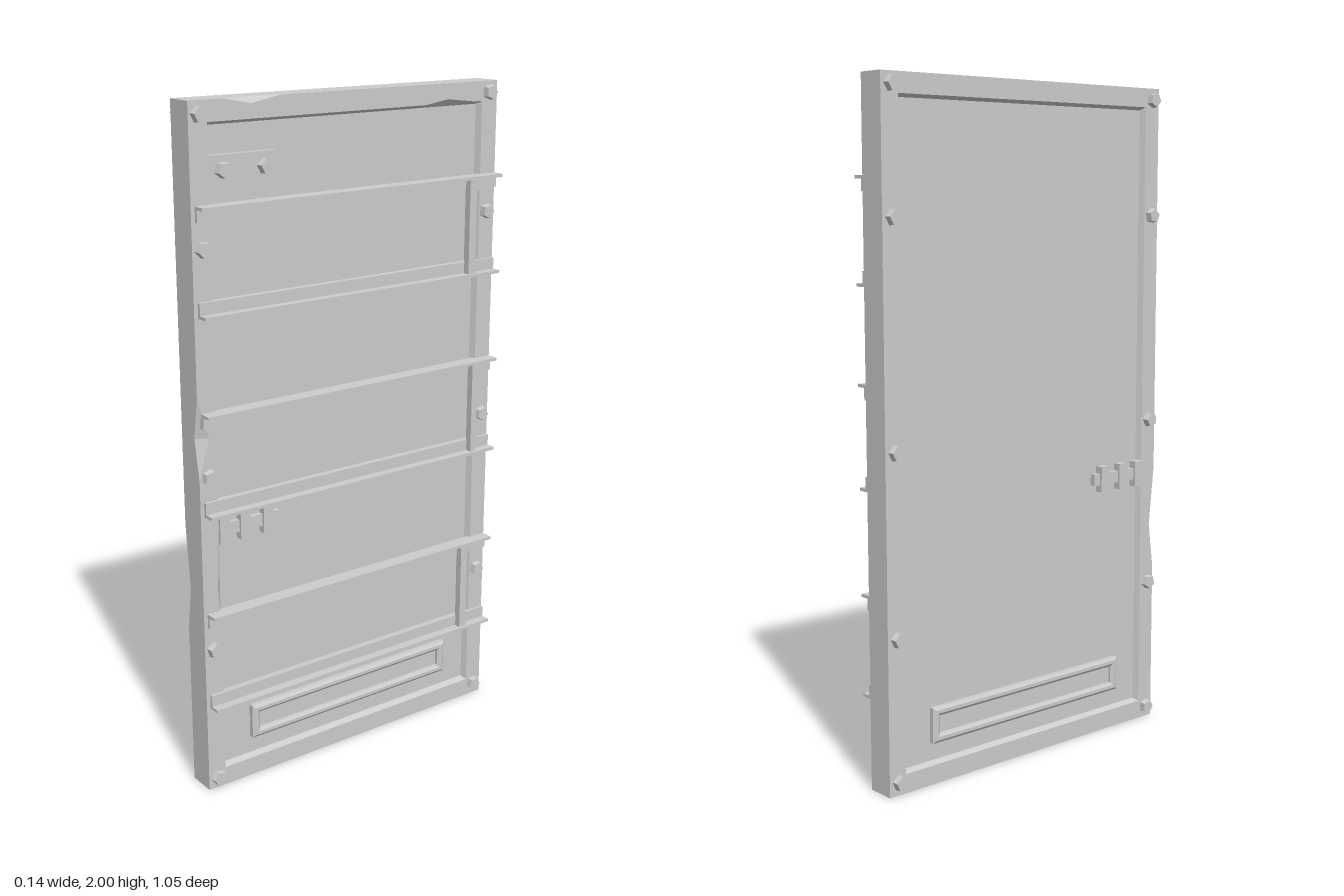
import * as THREE from 'three';

const W = 0.527, H = 2;              // half width along z, height
const XF = 0.032, XB = -0.055;       // outer and inner faces of the frame
const PF = 0.014, PB = -0.038;       // faces of the recessed panel
const mat = new THREE.MeshStandardMaterial({ color: 0xcccccc, flatShading: true });

function add(parent, name, geometry, x = 0, y = 0, z = 0) {
  const m = new THREE.Mesh(geometry, mat);
  m.name = name;
  m.position.set(x, y, z);
  parent.add(m);
  return m;
}

// box given by its limits
function block(parent, name, x0, x1, y0, y1, z0, z1) {
  return add(parent, name, new THREE.BoxGeometry(x1 - x0, y1 - y0, z1 - z0),
    (x0 + x1) / 2, (y0 + y1) / 2, (z0 + z1) / 2);
}

// Bevelled frame: one cross-section carried round the outline, with dents at some stations
function frameGeometry() {
  const stations = [
    { z: W, y: 0 },
    { z: W, y: 0.5 }, { z: W, y: 0.63, back: [0.018, 0.02], lip: 0.008 }, { z: W, y: 0.82 },
    { z: W, y: 0.97 }, { z: W, y: 1.09, front: [0.021, 0.034] }, { z: W, y: 1.21 },
    { z: W, y: H },
    { z: 0.42, y: H }, { z: 0.335, y: H, front: [0.017, 0.017] }, { z: 0.24, y: H },
    { z: -0.26, y: H }, { z: -0.34, y: H, lip: 0.012 }, { z: -0.44, y: H },
    { z: -W, y: H }, { z: -W, y: 0 },
  ];
  const { clamp } = THREE.MathUtils;
  const pos = [], index = [], n = 8;
  for (const { z, y, front = [0, 0], back = [0, 0], lip = 0 } of stations) {
    const section = [
      [XF, front[1]], [XF - front[0], 0], [XB + back[0], 0], [XB, back[1]],
      [XB, 0.057], [PB, 0.066], [PF, 0.066], [XF, 0.057 - lip],
    ];
    for (const [x, inset] of section) {
      pos.push(x, clamp(y, inset, H - inset), clamp(z, inset - W, W - inset));
    }
  }
  for (let i = 0; i < stations.length; i++) {
    for (let j = 0; j < n; j++) {
      const i2 = (i + 1) % stations.length, j2 = (j + 1) % n;
      const a = i * n + j, b = i2 * n + j, c = i2 * n + j2, d = i * n + j2;
      index.push(a, b, c, a, c, d);
    }
  }
  const g = new THREE.BufferGeometry();
  g.setAttribute('position', new THREE.Float32BufferAttribute(pos, 3));
  g.setIndex(index);
  const flat = g.toNonIndexed();
  flat.computeVertexNormals();
  return flat;
}

// Angle-iron rail: leg against the door and a flange standing out; dir flips the flange up or down
function rail(parent, yEdge, dir) {
  const pts = [[0.022, 0], [0.07, 0], [0.07, -0.009], [0.042, -0.009], [0.042, -0.043], [0.022, -0.043]];
  const shape = new THREE.Shape(pts.map(([x, y]) => new THREE.Vector2(x, y * dir)));
  const g = new THREE.ExtrudeGeometry(shape, { depth: 1.04, bevelEnabled: false });
  add(parent, 'rail', g, 0, yEdge, -0.525);
}

// Five-sided bolt head on the given side of the door
function bolt(parent, side, y, z, turn) {
  const g = new THREE.CylinderGeometry(0.021, 0.025, 0.03, 5);
  g.rotateY(turn);
  g.rotateZ(-side * Math.PI / 2);
  add(parent, 'bolt', g, side > 0 ? XF + 0.004 : XB - 0.004, y, z);
}

// Slot plate with a sunken middle and bevelled rim
function ventGeometry() {
  const rect = (s, z, y) => s.moveTo(-z, -y).lineTo(z, -y).lineTo(z, y).lineTo(-z, y).closePath();
  const shape = rect(new THREE.Shape(), 0.362, 0.045);
  shape.holes.push(rect(new THREE.Path(), 0.352, 0.035));
  const g = new THREE.ExtrudeGeometry(shape, {
    depth: XF - XB - 0.006, bevelThickness: 0.006, bevelSize: 0.008, bevelSegments: 1,
  });
  g.translate(0, 0, -(XF - XB - 0.006) / 2);
  return g.rotateY(Math.PI / 2);
}

export function createModel() {
  const door = new THREE.Group();
  door.name = 'door';

  add(door, 'frame', frameGeometry());
  block(door, 'panel', PB, PF, 0.06, H - 0.06, -W + 0.06, W - 0.06);

  // bolts along both uprights, on both faces
  const bolts = new THREE.Group();
  bolts.name = 'bolts';
  door.add(bolts);
  [0.036, 0.452, 0.978, 1.615, 1.965].forEach((y, i) => {
    for (const side of [1, -1]) {
      bolt(bolts, side, y, 0.498, i * 0.9);
      bolt(bolts, side, y + 0.003, -0.494, i * 1.3 + 0.4);
    }
  });

  // mounting plate near the top, outer face only
  const plate = new THREE.Group();
  plate.name = 'mountingPlate';
  door.add(plate);
  block(plate, 'plate', PF - 0.005, XF - 0.001, 1.777, 1.857, 0.255, 0.475);
  bolt(plate, 1, 1.818, 0.43, 0.3);
  bolt(plate, 1, 1.818, 0.296, 1.1);

  // three pairs of rails, each joined by an upright strip
  for (const [top, bottom, z0, z1] of [
    [1.73, 1.43, -0.434, -0.408], [1.163, 0.863, -0.455, -0.435], [0.567, 0.267, -0.434, -0.408],
  ]) {
    const pair = new THREE.Group();
    pair.name = 'railPair';
    door.add(pair);
    rail(pair, top, 1);
    rail(pair, bottom, -1);
    block(pair, 'strip', 0.04, 0.062, bottom + 0.005, top - 0.005, z0, z1);
  }

  // toothed latch passing through the panel
  const latch = new THREE.Group();
  latch.name = 'latch';
  door.add(latch);
  block(latch, 'latchBar', -0.055, 0.031, 0.792, 0.828, 0.265, 0.475);
  for (const z of [0.452, 0.383, 0.305]) {
    block(latch, 'latchTooth', -0.063, 0.038, 0.77, 0.85, z - 0.017, z + 0.017);
  }

  // slot plate through the bottom of the panel
  const vent = new THREE.Group();
  vent.name = 'vent';
  door.add(vent);
  add(vent, 'ventRim', ventGeometry(), (XF + XB) / 2, 0.173, 0);
  block(vent, 'ventPlate', PB - 0.006, PF + 0.006, 0.14, 0.206, -0.345, 0.345);

  return door;
}
